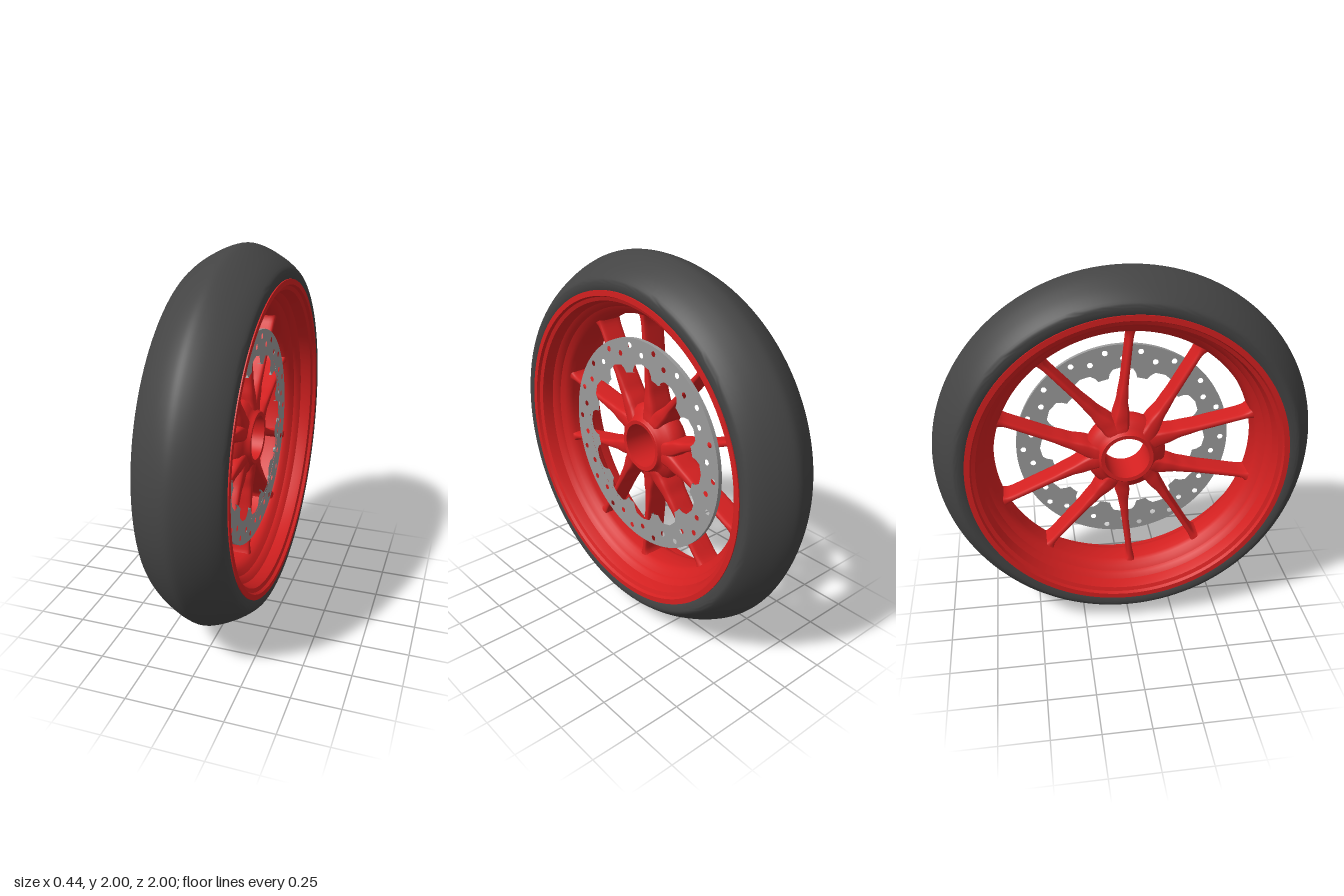
import * as THREE from 'three';
import { mergeVertices, toCreasedNormals } from 'three/addons/utils/BufferGeometryUtils.js';

const rubber = new THREE.MeshStandardMaterial({ color: 0x444444 });
rubber.name = 'dark rubber';
const red = new THREE.MeshStandardMaterial({ color: 0xd42020 });
red.name = 'red paint';
const steel = new THREE.MeshStandardMaterial({ color: 0x9a9a9a });
steel.name = 'brake steel';

const AXLE = 1;

function part(name, geometry, material) {
  const mesh = new THREE.Mesh(geometry, material);
  mesh.name = name;
  return mesh;
}

// Closed ring around the x axis from [radius, x] points, outer side first in rising x
function ring(points, segments = 96, crease = 0.6) {
  const profile = [...points, points[0]].map(([r, x]) => new THREE.Vector2(r, x));
  const geo = new THREE.LatheGeometry(profile, segments).rotateZ(-Math.PI / 2);
  return toCreasedNormals(geo, crease);
}

// Mirrors a half profile given from the +x side towards the middle (x = 0 last)
const mirrored = (half) => [...half.slice(0, -1).map(([r, x]) => [r, -x]), ...[...half].reverse()];

function tyre() {
  const crown = new THREE.SplineCurve([
    [0.86, -0.219], [0.888, -0.213], [0.93, -0.165], [0.968, -0.1], [0.991, -0.045], [1, 0],
    [0.991, 0.045], [0.968, 0.1], [0.93, 0.165], [0.888, 0.213], [0.86, 0.219],
  ].map(([r, x]) => new THREE.Vector2(r, x))).getPoints(40).map((p) => [p.x, p.y]);
  return ring([[0.81, -0.2], [0.83, -0.216], ...crown, [0.83, 0.216], [0.81, 0.2]], 128, 0.7);
}

function rim() {
  // Hidden outside of the barrel, then flange, bead seat, hump and drop centre
  const inner = [
    [0.833, 0.2], [0.833, 0.222], [0.805, 0.222], [0.798, 0.206], [0.778, 0.198], [0.772, 0.18],
    [0.764, 0.14], [0.742, 0.122], [0.735, 0.105], [0.712, 0.088], [0.697, 0.07], [0.69, 0.045], [0.69, 0],
  ];
  const bottom = mirrored(inner).reverse();
  return ring([...bottom, [0.815, -0.18], [0.815, 0.18]], 128, 0.5);
}

// Piecewise linear lookup in [position, ...values] rows
function sample(rows, y) {
  let i = 1;
  while (i < rows.length - 1 && rows[i][0] < y) i++;
  const a = rows[i - 1], b = rows[i];
  const t = THREE.MathUtils.smoothstep(y, a[0], b[0]);
  return a.map((v, k) => THREE.MathUtils.lerp(v, b[k], t));
}

// Blade spoke leaning away from its pair's centre line; rows: height, half thickness, half width
const SPOKE = [
  [0.135, 0.055, 0.085], [0.2, 0.046, 0.076], [0.3, 0.027, 0.068], [0.4, 0.019, 0.066],
  [0.61, 0.017, 0.066], [0.64, 0.022, 0.068], [0.672, 0.044, 0.074],
];
function spoke(side) {
  let geo = new THREE.CylinderGeometry(1, 1, 1, 20, 32, true);
  const pos = geo.attributes.position;
  const round = (v) => Math.sign(v) * Math.pow(Math.abs(v), 0.5);
  for (let i = 0; i < pos.count; i++) {
    const y = THREE.MathUtils.lerp(0.135, 0.672, pos.getY(i) + 0.5);
    const [, thick, wide] = sample(SPOKE, y);
    const lean = 0.046 + 0.444 * (y - 0.215);
    pos.setXYZ(i, round(pos.getX(i)) * wide, y, side * lean + round(pos.getZ(i)) * thick);
  }
  geo.deleteAttribute('uv');
  geo.deleteAttribute('normal');
  geo = mergeVertices(geo, 1e-5);
  geo.computeVertexNormals();
  return geo;
}

const polar = (r, a) => new THREE.Vector2(r * Math.sin(a), r * Math.cos(a));

// Flat plate facing +x
function plate(shape, x, depth) {
  const geo = new THREE.ExtrudeGeometry(shape, { depth, bevelEnabled: false, curveSegments: 96 });
  return toCreasedNormals(geo.rotateY(Math.PI / 2).translate(x, 0, 0), 0.5);
}

function circlePath(r, centre = new THREE.Vector2(), n = 12) {
  const pts = [];
  for (let i = 0; i < n; i++) pts.push(polar(r, (i / n) * Math.PI * 2).add(centre));
  return new THREE.Path(pts);
}

function brakeBand() {
  const shape = new THREE.Shape(circlePath(0.572, undefined, 120).getPoints());
  shape.holes.push(circlePath(0.456, undefined, 120));
  for (let i = 0; i < 18; i++) {
    const a = (i * Math.PI) / 9;
    shape.holes.push(circlePath(0.015, polar(0.535, a + Math.PI / 18)));
    shape.holes.push(circlePath(0.015, polar(0.495, a)));
  }
  return plate(shape, 0.068, 0.022);
}

function brakeCarrier() {
  const shape = new THREE.Shape(circlePath(0.46, undefined, 120).getPoints());
  // Scalloped inner edge: round notches between twelve tabs
  const edge = [];
  for (let i = 0; i < 12; i++) {
    for (const [deg, r] of [[-15, 0.39], [-11, 0.39], [-9.5, 0.415], [-7, 0.437], [0, 0.447], [7, 0.437], [9.5, 0.415], [11, 0.39]]) {
      edge.push(polar(r, THREE.MathUtils.degToRad(i * 30 + deg)));
    }
  }
  shape.holes.push(new THREE.Path(edge));
  return plate(shape, 0.07, 0.017);
}

export function createModel() {
  const wheel = new THREE.Group();
  wheel.name = 'wheel';
  wheel.position.y = AXLE;

  wheel.add(part('tyre', tyre(), rubber));
  wheel.add(part('rim', rim(), red));

  // Hub with an open bore and a flared middle
  const hub = mirrored([[0.118, 0.1], [0.138, 0.102], [0.143, 0.096], [0.146, 0.085], [0.165, 0.07], [0.195, 0.055], [0.212, 0.03], [0.215, 0]]);
  wheel.add(part('hub', ring(hub, 64, 0.7), red));

  // Five pairs of spokes
  const spokes = new THREE.Group();
  spokes.name = 'spokes';
  const blades = [spoke(1), spoke(-1)];
  for (let i = 0; i < 5; i++) {
    for (const blade of blades) {
      const mesh = part('spoke', blade, red);
      mesh.rotation.x = -THREE.MathUtils.degToRad(18 + i * 72);
      spokes.add(mesh);
    }
  }
  wheel.add(spokes);

  // Brake disc on the left side
  const disc = new THREE.Group();
  disc.name = 'brakeDisc';
  disc.add(part('brakeBand', brakeBand(), steel));
  disc.add(part('brakeCarrier', brakeCarrier(), steel));
  wheel.add(disc);

  const model = new THREE.Group();
  model.name = 'frontWheel';
  model.add(wheel);
  return model;
}
